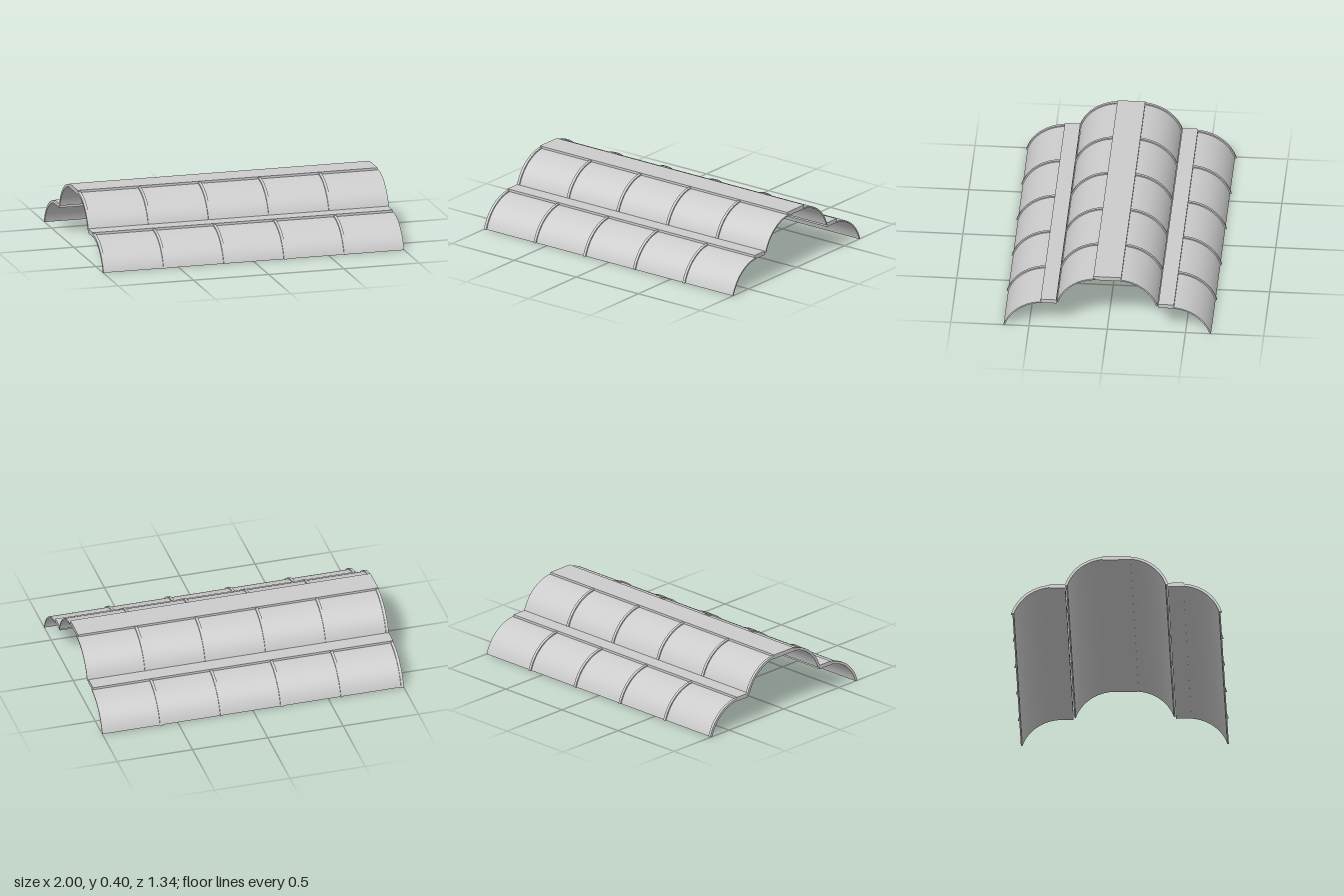
import * as THREE from 'three';
import { toCreasedNormals } from 'three/addons/utils/BufferGeometryUtils.js';

const material = new THREE.MeshStandardMaterial({ color: 0xcccccc });
const CENTRE_Z = 0.405, CENTRE_Y = -0.08; // centre of the lower vault curve
const TOP_Z = 0.421;                      // where the curve meets its walkway
const PANELS = 5, PITCH = 0.4, RIB_WIDTH = 0.018;

// Curved strip between two radii, cut level at the foot and upright at the top
function curvedStrip(inner, outer, width) {
  const points = [];
  const addArc = (r, reverse) => {
    const start = Math.asin(-CENTRE_Y / r);
    const end = Math.acos((TOP_Z - CENTRE_Z) / r);
    const steps = 32;
    for (let i = 0; i <= steps; i++) {
      const t = (reverse ? steps - i : i) / steps;
      const a = start + (end - start) * t;
      points.push(new THREE.Vector2(CENTRE_Z + r * Math.cos(a), CENTRE_Y + r * Math.sin(a)));
    }
  };
  addArc(outer, false);
  addArc(inner, true);
  const geometry = new THREE.ExtrudeGeometry(new THREE.Shape(points), { depth: width, bevelEnabled: false });
  // profile x becomes z, extrusion runs along x
  geometry.rotateY(-Math.PI / 2);
  geometry.translate(width, 0, 0);
  return toCreasedNormals(geometry, 0.5);
}

function addMesh(parent, name, geometry, x, y, z) {
  const mesh = new THREE.Mesh(geometry, material);
  mesh.name = name;
  mesh.position.set(x, y, z);
  parent.add(mesh);
  return mesh;
}

export function createModel() {
  const model = new THREE.Group();
  model.name = 'vaultedRoof';

  const panel = curvedStrip(0.261, 0.27, PITCH);
  const rib = curvedStrip(0.261, 0.278, RIB_WIDTH);

  // Two tiers of curved panels with raised ribs on each slope
  for (const side of ['front', 'back']) {
    const slope = new THREE.Group();
    slope.name = side + 'Slope';
    if (side === 'back') slope.scale.z = -1;
    [['lower', 0, 0], ['upper', 0.194, -0.341]].forEach(([tier, y, z]) => {
      for (let i = 0; i < PANELS; i++) {
        const x = -1 + i * PITCH;
        addMesh(slope, tier + 'Panel', panel, x, y, z);
        addMesh(slope, tier + 'Rib', rib, x, y, z);
      }
    });
    // Flat ledge between the tiers
    addMesh(slope, 'ledge', new THREE.BoxGeometry(1.993, 0.027, 0.1), -0.0035, 0.191, 0.376);
    model.add(slope);
  }

  // Flat ridge cap
  addMesh(model, 'ridgeCap', new THREE.BoxGeometry(1.993, 0.027, 0.178), -0.0035, 0.384, 0);
  return model;
}
